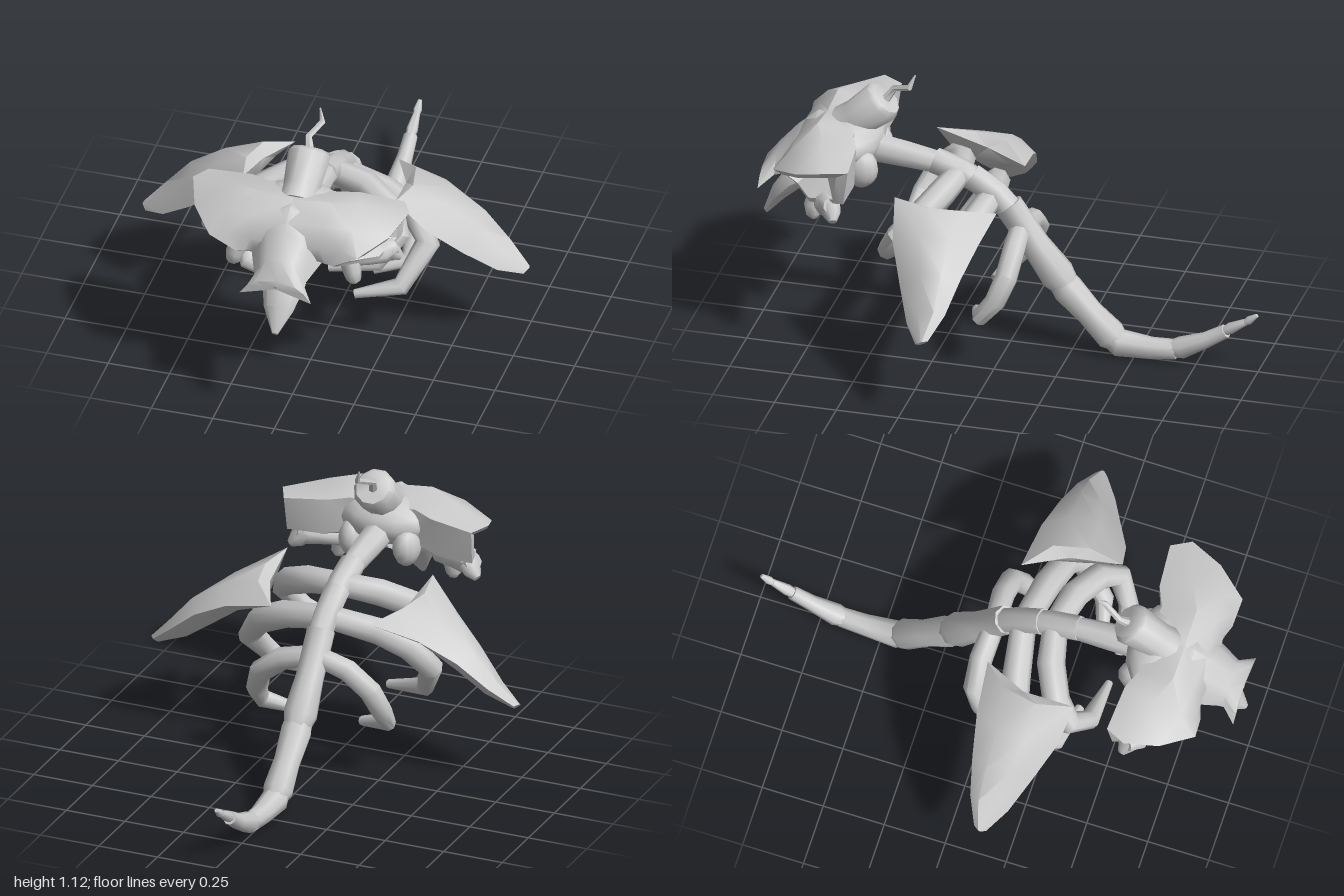
import * as THREE from 'three';
import { toCreasedNormals } from 'three/addons/utils/BufferGeometryUtils.js';

const material = new THREE.MeshStandardMaterial({ color: 0xcccccc, side: THREE.DoubleSide });
const V = (x, y, z) => new THREE.Vector3(x, y, z);

// Skin a list of rings (equal point counts), close both ends, face outward
function loft(rings, crease = 0.85) {
  const n = rings[0].length, tris = [];
  const centre = (r) => r.reduce((s, p) => s.add(p), V(0, 0, 0)).divideScalar(n);
  for (let i = 0; i < rings.length - 1; i++) {
    for (let j = 0; j < n; j++) {
      const k = (j + 1) % n, a = rings[i], b = rings[i + 1];
      tris.push([a[j], a[k], b[k]], [a[j], b[k], b[j]]);
    }
  }
  const first = rings[0], last = rings[rings.length - 1];
  const c0 = centre(first), c1 = centre(last);
  for (let j = 0; j < n; j++) {
    const k = (j + 1) % n;
    tris.push([c0, first[k], first[j]], [c1, last[j], last[k]]);
  }
  const volume = tris.reduce((s, [a, b, c]) => s + a.dot(b.clone().cross(c)), 0);
  const points = tris.flatMap(([a, b, c]) => (volume < 0 ? [a, c, b] : [a, b, c]));
  return toCreasedNormals(new THREE.BufferGeometry().setFromPoints(points), crease);
}

// Angular bone through points [x, y, z, radius], carrying its frame along
function bone(path, sides = 8) {
  const pts = path.map((p) => V(p[0], p[1], p[2]));
  const u = V(0.3, 0.5, 0.8);
  const rings = pts.map((p, i) => {
    const t = pts[Math.min(i + 1, pts.length - 1)].clone().sub(pts[Math.max(i - 1, 0)]).normalize();
    u.addScaledVector(t, -u.dot(t)).normalize();
    const w = t.clone().cross(u);
    return Array.from({ length: sides }, (_, j) => {
      const a = (j / sides) * Math.PI * 2, r = path[i][3];
      return p.clone().addScaledVector(u, Math.cos(a) * r).addScaledVector(w, Math.sin(a) * r);
    });
  });
  return loft(rings, 0.95);
}

function ellipsoid(x, y, z, rx, ry, rz) {
  return new THREE.SphereGeometry(1, 12, 8).scale(rx, ry, rz).translate(x, y, z);
}

function add(parent, name, geometry) {
  const m = new THREE.Mesh(geometry, material);
  m.name = name;
  parent.add(m);
}

export function createModel() {
  const model = new THREE.Group();
  model.name = 'skeletonCreature';

  // Spine and tail: overlapping vertebrae [z, y, radius]
  const vertebrae = [
    [[0.6, 0.785, 0.062], [0.42, 0.765, 0.054], [0.27, 0.745, 0.045]],
    [[0.31, 0.755, 0.052], [0.2, 0.72, 0.052], [0.12, 0.68, 0.047]],
    [[0.16, 0.705, 0.054], [0.06, 0.645, 0.052], [-0.03, 0.55, 0.05]],
    [[0.01, 0.6, 0.058], [-0.1, 0.44, 0.058], [-0.19, 0.32, 0.07], [-0.225, 0.28, 0.055]],
    [[-0.18, 0.33, 0.05], [-0.23, 0.265, 0.064], [-0.32, 0.17, 0.055], [-0.405, 0.085, 0.063], [-0.44, 0.06, 0.045]],
    [[-0.38, 0.1, 0.045], [-0.44, 0.055, 0.055], [-0.57, 0.05, 0.044], [-0.67, 0.058, 0.04]],
    [[-0.64, 0.055, 0.032], [-0.69, 0.068, 0.044], [-0.79, 0.115, 0.032], [-0.87, 0.165, 0.028]],
    [[-0.85, 0.155, 0.016], [-0.89, 0.18, 0.023], [-0.95, 0.215, 0.014]],
    [[-0.94, 0.205, 0.01], [-0.965, 0.225, 0.017], [-0.997, 0.25, 0.008]],
  ];
  const spine = new THREE.Group();
  spine.name = 'spine';
  vertebrae.forEach((v, i) => add(spine, 'vertebra' + (i + 1), bone(v.map(([z, y, r]) => [0, y, z, r]))));
  model.add(spine);

  // Snout: [z, halfWidth, top, cornerY, undersideY]
  const snout = [
    [0.57, 0.1, 0.85, 0.74, 0.72],
    [0.66, 0.15, 0.9, 0.73, 0.7],
    [0.78, 0.16, 0.91, 0.72, 0.69],
    [0.86, 0.13, 0.84, 0.69, 0.68],
    [0.93, 0.1, 0.76, 0.655, 0.66],
    [0.985, 0.145, 0.69, 0.61, 0.665],
  ].map(([z, w, top, corner, under]) => [
    V(0, top, z), V(w * 0.55, top * 0.8 + corner * 0.2, z), V(w * 0.8, (top + corner) / 2, z), V(w, corner, z),
    V(w * 0.5, (corner + under) / 2, z - 0.02), V(0, under, z), V(-w * 0.5, (corner + under) / 2, z - 0.02),
    V(-w, corner, z), V(-w * 0.8, (top + corner) / 2, z), V(-w * 0.55, top * 0.8 + corner * 0.2, z),
  ]);
  add(model, 'snout', loft(snout));
  add(model, 'cranium', ellipsoid(0, 0.815, 0.64, 0.19, 0.1, 0.13));

  // Pointed lower beak
  const beak = [[0.67, 0.76, 0.08, 0.05], [0.61, 0.87, 0.088, 0.05], [0.53, 0.94, 0.06, 0.035], [0.445, 0.99, 0.012, 0.012]];
  add(model, 'lowerBeak', loft(beak.map(([y, z, w, h]) => Array.from({ length: 8 }, (_, j) => {
    const a = (j / 8) * Math.PI * 2;
    return V(w * Math.cos(a), y + h * Math.sin(a) * 0.75, z + h * Math.sin(a) * 0.65);
  }))));

  // Candle tilted back on the crown, with a crooked wick
  add(model, 'candle', bone([[0, 0.86, 0.67, 0.08], [0, 0.9, 0.62, 0.075], [0, 0.985, 0.52, 0.086], [0, 1.0, 0.505, 0.07]], 10));
  add(model, 'wick', bone([[0, 0.99, 0.51, 0.02], [-0.015, 1.04, 0.475, 0.014], [0.02, 1.068, 0.405, 0.013], [0.005, 1.118, 0.385, 0.003]], 6));

  const ribs = [
    [[0, 0.71, 0.21, 0.05], [0.15, 0.69, 0.24, 0.056], [0.27, 0.635, 0.3, 0.055], [0.32, 0.57, 0.37, 0.048], [0.25, 0.47, 0.43, 0.04], [0.06, 0.415, 0.45, 0.015]],
    [[0, 0.625, 0.08, 0.05], [0.2, 0.585, 0.115, 0.056], [0.32, 0.525, 0.145, 0.055], [0.385, 0.43, 0.195, 0.05], [0.31, 0.285, 0.31, 0.038], [0.135, 0.245, 0.355, 0.018]],
    [[0, 0.51, -0.04, 0.042], [0.14, 0.475, -0.05, 0.046], [0.235, 0.4, -0.045, 0.046], [0.265, 0.31, -0.01, 0.043], [0.265, 0.235, 0.05, 0.036], [0.135, 0.195, 0.1, 0.02]],
  ];

  // Brow and eye socket: rings outward from the midline, over the rim, into a hollow
  const brow = [
    [V(0, 0.88, 0.6), V(0, 0.915, 0.74), V(0, 0.865, 0.83), V(0, 0.78, 0.87), V(0, 0.72, 0.86), V(0, 0.7, 0.82), V(0, 0.7, 0.7), V(0, 0.75, 0.6)],
    [V(0.14, 0.89, 0.6), V(0.15, 0.932, 0.74), V(0.15, 0.87, 0.82), V(0.14, 0.78, 0.855), V(0.12, 0.72, 0.845), V(0.12, 0.7, 0.82), V(0.11, 0.7, 0.7), V(0.12, 0.75, 0.6)],
    [V(0.22, 0.88, 0.565), V(0.26, 0.915, 0.69), V(0.26, 0.865, 0.81), V(0.23, 0.8, 0.865), V(0.16, 0.72, 0.855), V(0.15, 0.695, 0.82), V(0.23, 0.69, 0.71), V(0.25, 0.73, 0.565)],
  ];
  const rim = [V(0.4, 0.86, 0.55), V(0.44, 0.867, 0.63), V(0.395, 0.825, 0.76), V(0.3, 0.785, 0.88), V(0.2, 0.725, 0.87), V(0.2, 0.69, 0.82), V(0.34, 0.685, 0.72), V(0.395, 0.72, 0.57)];
  const inset = (target, amount) => rim.map((p) => p.clone().lerp(target, amount));
  const socket = [...brow, rim, inset(V(0.36, 0.755, 0.73), 0.28), inset(V(0.18, 0.775, 0.72), 0.72)];

  // Shoulder blade sections: front edge, upper ridges, back edge, underside
  const blade = [
    [V(0.31, 0.735, 0.385), V(0.34, 0.722, 0.24), V(0.31, 0.712, 0.1), V(0.21, 0.665, 0.0), V(0.27, 0.635, 0.08), V(0.31, 0.625, 0.23)],
    [V(0.43, 0.6, 0.36), V(0.47, 0.66, 0.24), V(0.46, 0.665, 0.12), V(0.41, 0.62, 0.02), V(0.4, 0.565, 0.11), V(0.41, 0.545, 0.23)],
    [V(0.56, 0.48, 0.295), V(0.59, 0.56, 0.21), V(0.6, 0.575, 0.12), V(0.56, 0.54, 0.05), V(0.53, 0.485, 0.11), V(0.53, 0.455, 0.2)],
    [V(0.68, 0.385, 0.235), V(0.7, 0.435, 0.18), V(0.7, 0.46, 0.12), V(0.68, 0.44, 0.08), V(0.65, 0.4, 0.12), V(0.65, 0.375, 0.18)],
    [V(0.77, 0.345, 0.175), V(0.787, 0.362, 0.155), V(0.785, 0.368, 0.145), V(0.77, 0.365, 0.125), V(0.76, 0.35, 0.14), V(0.76, 0.34, 0.16)],
  ];

  // Paired parts, mirrored
  for (const side of [1, -1]) {
    const half = new THREE.Group();
    half.name = side > 0 ? 'leftSide' : 'rightSide';
    half.scale.x = side;
    ribs.forEach((r, i) => add(half, 'rib' + (i + 1), bone(r)));
    add(half, 'eyeSocket', loft(socket));
    add(half, 'shoulderBlade', loft(blade));
    add(half, 'jawLobe', ellipsoid(0.115, 0.74, 0.575, 0.055, 0.08, 0.07));
    add(half, 'cheekBone', bone([[0.15, 0.75, 0.78, 0.025], [0.16, 0.69, 0.74, 0.032], [0.2, 0.665, 0.71, 0.037], [0.28, 0.67, 0.68, 0.04], [0.34, 0.685, 0.65, 0.052], [0.38, 0.7, 0.62, 0.036]]));
    add(half, 'innerTooth', bone([[0.22, 0.67, 0.72, 0.04], [0.24, 0.62, 0.735, 0.036], [0.245, 0.585, 0.73, 0.03], [0.245, 0.567, 0.725, 0.014]]));
    add(half, 'outerTooth', bone([[0.35, 0.69, 0.64, 0.046], [0.375, 0.66, 0.62, 0.036], [0.4, 0.64, 0.61, 0.016]]));
    model.add(half);
  }
  return model;
}
